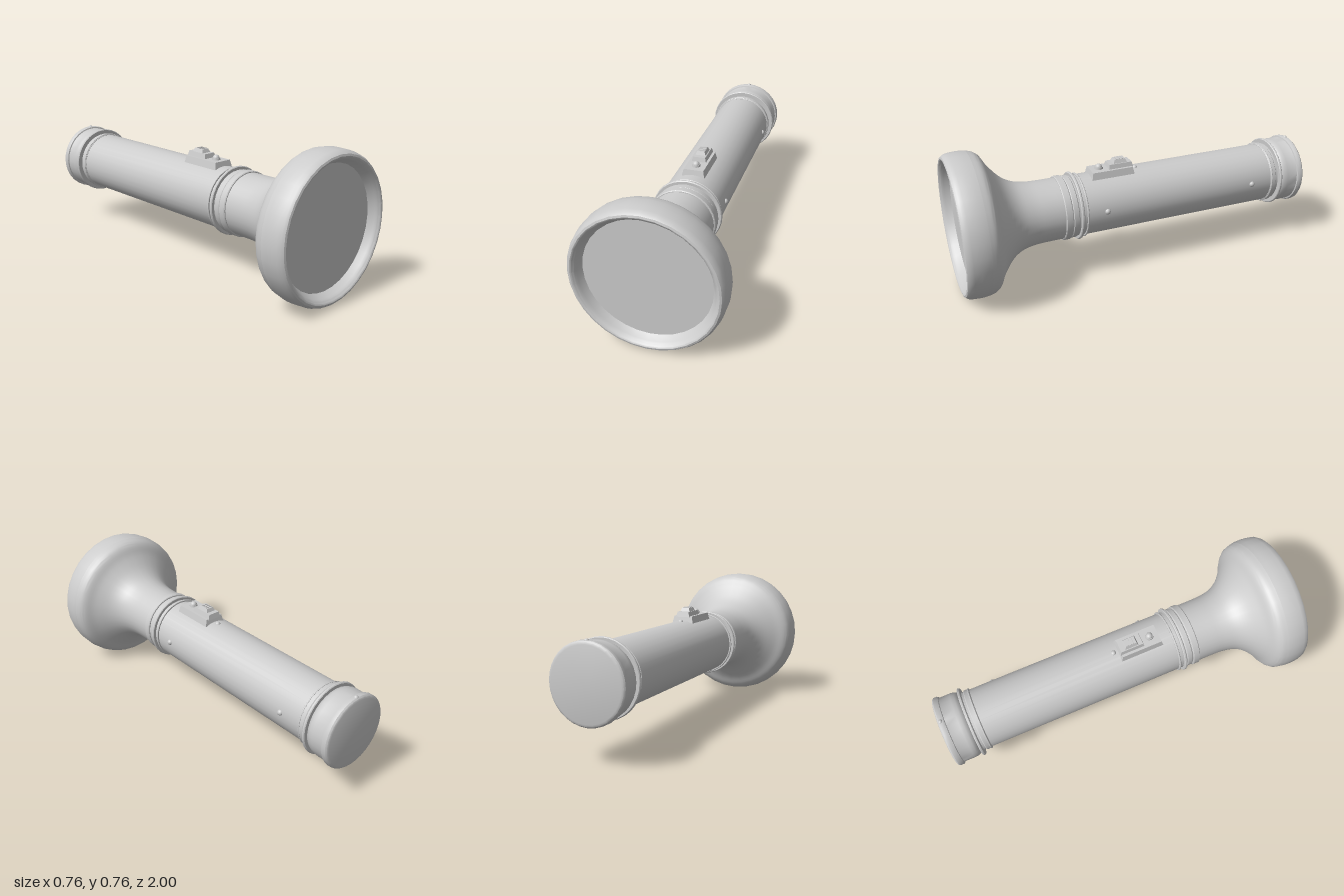
import * as THREE from 'three';
import { toCreasedNormals } from 'three/addons/utils/BufferGeometryUtils.js';

const AXIS_Y = 0.386;
const SIDES = 32;

export function createModel() {
  const model = new THREE.Group();
  const material = new THREE.MeshStandardMaterial({ color: 0xcccccc });

  function add(name, geometry, x = 0, y = 0, z = 0) {
    const mesh = new THREE.Mesh(geometry, material);
    mesh.name = name;
    mesh.position.set(x, y, z);
    model.add(mesh);
    return mesh;
  }

  // Turned part about the long axis; profile is [radius, z] from back to front
  function turned(name, profile) {
    const points = profile.map(([r, z]) => new THREE.Vector2(r, z));
    const geometry = new THREE.LatheGeometry(points, SIDES).rotateX(Math.PI / 2);
    return add(name, toCreasedNormals(geometry, 0.6), 0, AXIS_Y, 0);
  }

  // Collar with slightly softened edges
  function collar(name, z0, z1, r) {
    const b = Math.min(0.004, (z1 - z0) / 4);
    turned(name, [[0.15, z0], [r - b, z0], [r, z0 + b], [r, z1 - b], [r - b, z1], [0.15, z1]]);
  }

  // Block whose top is narrower than its base
  function taperedBlock(name, w, h, d, inset, y, z) {
    const geometry = new THREE.BoxGeometry(w, h, d).translate(0, h / 2, 0);
    const p = geometry.attributes.position;
    for (let i = 0; i < p.count; i++) {
      if (p.getY(i) < h / 2) continue;
      p.setX(i, p.getX(i) - Math.sign(p.getX(i)) * inset);
      p.setZ(i, p.getZ(i) - Math.sign(p.getZ(i)) * inset);
    }
    geometry.computeVertexNormals();
    add(name, geometry, 0, y, z);
  }

  function rivet(name, r, x, y, z) {
    add(name, new THREE.SphereGeometry(r, 14, 10), x, y, z);
  }

  // Flared head: smooth curve from the neck to the wide bell
  const flare = new THREE.SplineCurve([
    [0.167, 0.43], [0.167, 0.52], [0.171, 0.6], [0.188, 0.67], [0.228, 0.73],
    [0.293, 0.785], [0.345, 0.815], [0.368, 0.84], [0.378, 0.875],
  ].map(([r, z]) => new THREE.Vector2(r, z)));
  turned('head', flare.getPoints(32).map((p) => [p.x, p.y]));

  // Rounded bezel, turning inward to the recessed lens
  turned('bezel', [
    [0.378, 0.875], [0.381, 0.9], [0.381, 0.93], [0.378, 0.965], [0.373, 0.985],
    [0.364, 0.997], [0.354, 1], [0.346, 0.997], [0.341, 0.99], [0.336, 0.985],
    [0.332, 0.975], [0.313, 0.945],
  ]);
  add('lens', new THREE.CircleGeometry(0.314, SIDES).rotateZ(Math.PI / 2), 0, AXIS_Y, 0.946);

  // Barrel
  turned('barrel', [[0.166, -0.88], [0.166, 0.45]]);

  // Collars on the neck and near the tail
  collar('neckBand', 0.4, 0.44, 0.175);
  collar('neckSleeve', 0.365, 0.398, 0.17);
  collar('neckFlange', 0.342, 0.358, 0.185);
  collar('neckRing', 0.314, 0.324, 0.175);
  collar('tailBand', -0.83, -0.795, 0.172);
  collar('tailRing', -0.806, -0.798, 0.175);
  collar('tailFlange', -0.858, -0.842, 0.194);

  // Tail cap with a thicker rounded end rim
  turned('tailCap', [
    [0, -1], [0.178, -1], [0.189, -0.997], [0.195, -0.99], [0.196, -0.97],
    [0.192, -0.963], [0.185, -0.961], [0.186, -0.9], [0.184, -0.88],
    [0.177, -0.863], [0.166, -0.855],
  ]);

  // Switch: base plate, slider and push button
  taperedBlock('switchPlate', 0.126, 0.046, 0.246, 0.01, 0.532, 0.134);
  taperedBlock('sliderBase', 0.08, 0.028, 0.14, 0.007, 0.574, 0.083);
  taperedBlock('slider', 0.058, 0.021, 0.078, 0.009, 0.6, 0.083);
  for (const z of [0.067, 0.083, 0.099]) {
    add('sliderRidge', new THREE.BoxGeometry(0.036, 0.004, 0.006), 0, 0.622, z);
  }
  add('buttonStem', new THREE.CylinderGeometry(0.021, 0.023, 0.012, 20), 0, 0.583, 0.197);
  rivet('button', 0.019, 0, 0.586, 0.197);

  // Rivets along the barrel side, behind the switch and on the end rim
  for (const z of [0.21, -0.67]) rivet('sideRivet', 0.016, 0.162, 0.397, z);
  rivet('topRivet', 0.015, 0, 0.547, -0.012);
  rivet('rimRivet', 0.012, 0, 0.576, -0.982);

  return model;
}
